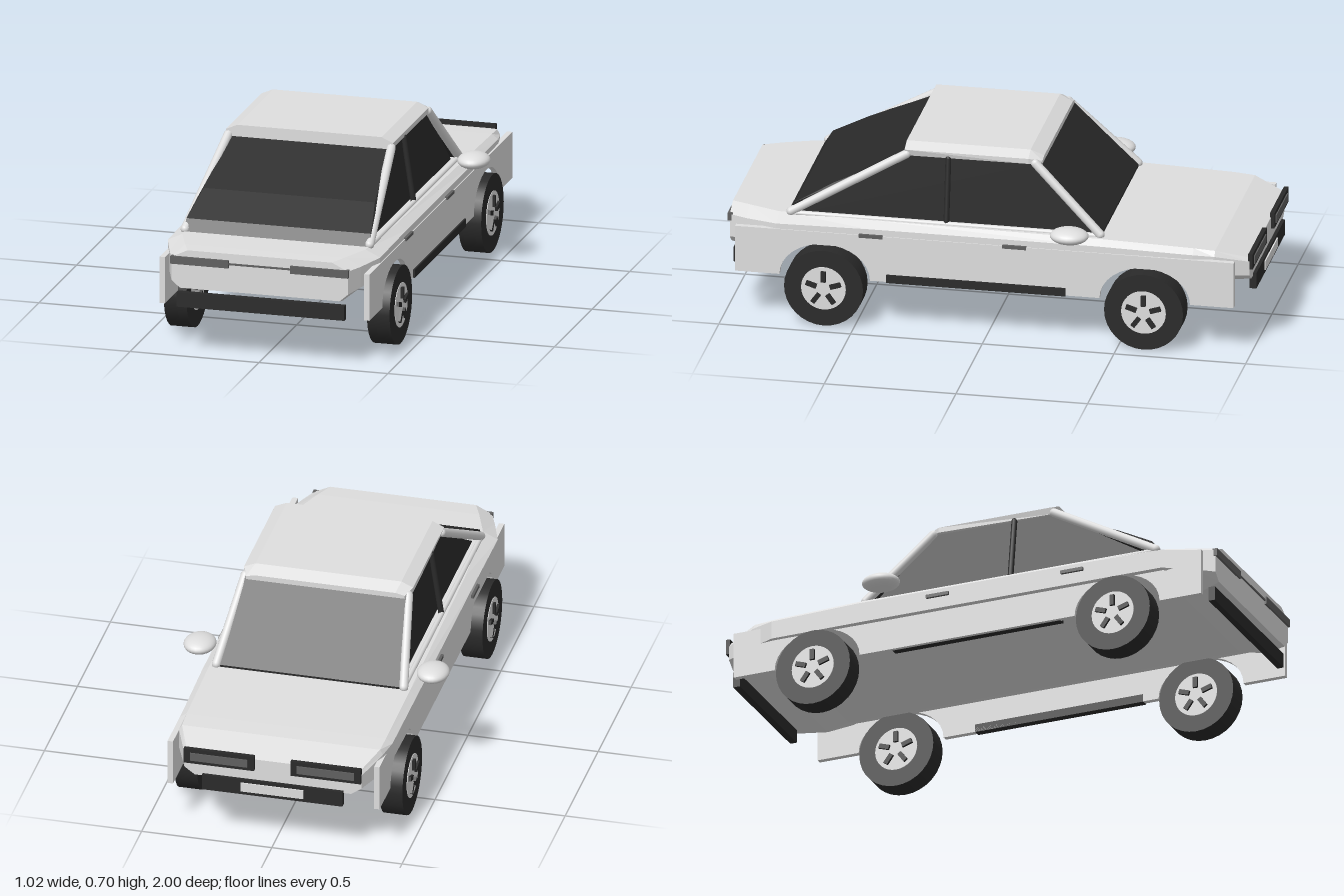
import * as THREE from 'three';
import { ConvexGeometry } from 'three/addons/geometries/ConvexGeometry.js';

const mat = (name, color) => {
  const m = new THREE.MeshStandardMaterial({ color });
  m.name = name;
  return m;
};

// Lofts symmetric eight-sided sections along z: [z, top x,y, shoulder x,y, lower x,y, bottom x,y]
function loft(sections) {
  const rings = sections.map(([z, tx, ty, sx, sy, lx, ly, bx, by]) =>
    [[tx, ty], [-tx, ty], [-sx, sy], [-lx, ly], [-bx, by], [bx, by], [lx, ly], [sx, sy]].map(([x, y]) => [x, y, z]));
  const pos = [];
  const tri = (...pts) => pts.forEach(p => pos.push(...p));
  for (let i = 0; i < rings.length - 1; i++) {
    for (let j = 0; j < 8; j++) {
      const k = (j + 1) % 8;
      const a = rings[i][j], b = rings[i][k], c = rings[i + 1][k], d = rings[i + 1][j];
      tri(a, b, c);
      tri(a, c, d);
    }
  }
  const first = rings[0], last = rings[rings.length - 1];
  for (let j = 1; j < 7; j++) {
    tri(last[0], last[j], last[j + 1]);
    tri(first[0], first[j + 1], first[j]);
  }
  const g = new THREE.BufferGeometry();
  g.setAttribute('position', new THREE.Float32BufferAttribute(pos, 3));
  g.computeVertexNormals();
  return g;
}

// Convex solid from points mirrored across x
const mirroredHull = points => new ConvexGeometry(
  [-1, 1].flatMap(s => points.map(([x, y, z]) => new THREE.Vector3(s * x, y, z))));

export function createModel() {
  const car = new THREE.Group();
  car.name = 'car';
  const paint = mat('light grey paint', 0xdedede);
  const black = mat('black trim', 0x2a2a2a);
  const glass = mat('dark glass', 0x2a2a2a);
  const grey = mat('dark grey', 0x606060);

  const add = (name, geo, material, parent = car) => {
    const m = new THREE.Mesh(geo, material);
    m.name = name;
    parent.add(m);
    return m;
  };
  // Box given by its limits on each axis
  const box = (name, [x0, x1], [y0, y1], [z0, z1], material) => {
    const m = add(name, new THREE.BoxGeometry(x1 - x0, y1 - y0, z1 - z0), material);
    m.position.set((x0 + x1) / 2, (y0 + y1) / 2, (z0 + z1) / 2);
  };
  const rod = (name, from, to, r, material) => {
    const a = new THREE.Vector3(...from), b = new THREE.Vector3(...to), d = b.clone().sub(a);
    const m = add(name, new THREE.CapsuleGeometry(r, d.length(), 4, 12), material);
    m.position.copy(a).add(b).multiplyScalar(0.5);
    m.quaternion.setFromUnitVectors(new THREE.Vector3(0, 1, 0), d.normalize());
  };

  // Main shell with bonnet, boot and underside
  add('bodyShell', loft([
    [-0.982, 0.33, 0.358, 0.34, 0.345, 0.34, 0.29, 0.30, 0.262],
    [-0.86, 0.38, 0.395, 0.392, 0.375, 0.392, 0.30, 0.31, 0.25],
    [-0.78, 0.383, 0.40, 0.408, 0.382, 0.408, 0.312, 0.32, 0.28],
    [-0.43, 0.385, 0.41, 0.412, 0.39, 0.412, 0.312, 0.32, 0.28],
    [0.45, 0.375, 0.412, 0.412, 0.39, 0.412, 0.312, 0.32, 0.28],
    [0.80, 0.355, 0.412, 0.412, 0.385, 0.412, 0.312, 0.32, 0.28],
    [0.92, 0.31, 0.412, 0.37, 0.38, 0.37, 0.30, 0.30, 0.242],
    [0.99, 0.28, 0.41, 0.342, 0.38, 0.342, 0.29, 0.31, 0.262],
  ]), paint);

  // Side panels with wheel arches
  const side = new THREE.Shape();
  side.moveTo(-0.938, 0.185);
  for (const z of [-0.6, 0.615]) {
    for (let i = 0; i <= 16; i++) {
      const t = Math.PI * (1 - i / 16);
      side.lineTo(z + 0.172 * Math.cos(t), 0.185 + 0.133 * Math.sin(t));
    }
  }
  side.lineTo(0.955, 0.185);
  side.lineTo(0.955, 0.365);
  side.lineTo(-0.938, 0.365);
  const panel = new THREE.ExtrudeGeometry(side, { depth: 0.021, bevelEnabled: false });
  panel.rotateY(-Math.PI / 2);

  // Roof
  add('roof', loft([
    [-0.19, 0.27, 0.682, 0.305, 0.674, 0.305, 0.662, 0.27, 0.66],
    [-0.14, 0.28, 0.705, 0.325, 0.685, 0.325, 0.665, 0.28, 0.66],
    [0.33, 0.28, 0.705, 0.325, 0.685, 0.318, 0.66, 0.28, 0.656],
  ]), paint);

  // Cabin glass: tapered sides, sloping windscreen and a bowed rear screen
  add('sideGlass', mirroredHull([
    [0.335, 0.4, -0.41], [0.312, 0.663, -0.165], [0.312, 0.66, 0.32], [0.335, 0.4, 0.74],
  ]), glass);
  add('windscreen', mirroredHull([
    [0.36, 0.41, -0.425], [0.36, 0.418, -0.425], [0.312, 0.662, -0.182], [0.312, 0.67, -0.182],
  ]), glass);
  add('rearScreen', mirroredHull([
    [0.36, 0.41, 0.768], [0.358, 0.455, 0.738], [0.332, 0.534, 0.598], [0.308, 0.66, 0.33], [0.308, 0.65, 0.33],
  ]), glass);

  for (const s of [-1, 1]) {
    add('sidePanel', panel, paint).position.x = s > 0 ? 0.416 : -0.377;

    // Roof pillars and window frame
    rod('frontPillar', [s * 0.36, 0.418, -0.42], [s * 0.314, 0.665, -0.165], 0.017, paint);
    rod('rearPillar', [s * 0.358, 0.418, 0.755], [s * 0.316, 0.665, 0.325], 0.017, paint);
    rod('centrePillar', [s * 0.355, 0.415, 0.165], [s * 0.318, 0.66, 0.165], 0.011, black);
    rod('beltRail', [s * 0.358, 0.412, -0.42], [s * 0.358, 0.412, 0.755], 0.01, paint);

    // Wing mirror
    const mirror = add('wingMirror', new THREE.SphereGeometry(1, 24, 16), paint);
    mirror.scale.set(0.061, 0.03, 0.073);
    mirror.position.set(s * 0.448, 0.44, -0.32);

    // Door handles and sill strip
    const xs = (a, b) => (s > 0 ? [a, b] : [-b, -a]);
    for (const z of [0.44, -0.105]) box('doorHandle', xs(0.405, 0.422), [0.357, 0.37], [z - 0.045, z + 0.045], grey);
    box('sillStrip', s > 0 ? [0.395, 0.424] : [-0.385, -0.356], [0.184, 0.215], [-0.3, 0.38], black);

    // Rear lamp, headlight frame and lens
    box('tailLamp', xs(0.12, 0.345), [0.355, 0.385], [0.978, 0.998], grey);
    box('headlightFrame', xs(0.07, 0.34), [0.315, 0.375], [-0.995, -0.978], black);
    box('headlightLens', xs(0.095, 0.315), [0.328, 0.36], [-0.999, -0.994], grey);

    // Wheels
    for (const z of [-0.6, 0.615]) {
      const wheel = new THREE.Group();
      wheel.name = 'wheel';
      wheel.position.set(s * 0.394, 0.15, z);
      car.add(wheel);
      add('tyre', new THREE.CylinderGeometry(0.15, 0.15, 0.088, 32), black, wheel).rotation.z = Math.PI / 2;
      add('hub', new THREE.CylinderGeometry(0.085, 0.085, 0.092, 32), paint, wheel).rotation.z = Math.PI / 2;
      for (let i = 0; i < 5; i++) {
        const a = (i / 5) * Math.PI * 2;
        const slot = add('hubSlot', new THREE.BoxGeometry(0.112, 0.042, 0.018), black, wheel);
        slot.position.set(0, 0.048 * Math.cos(a), 0.048 * Math.sin(a));
        slot.rotation.x = a;
      }
    }
  }

  // Bumpers, number plate and rear trim line
  box('tailTrim', [-0.12, 0.12], [0.367, 0.374], [0.98, 0.994], grey);
  box('rearBumper', [-0.325, 0.325], [0.184, 0.24], [0.955, 0.98], black);
  box('frontBumper', [-0.27, 0.27], [0.21, 0.272], [-0.995, -0.968], black);
  box('frontPlate', [-0.12, 0.12], [0.224, 0.26], [-1, -0.994], paint);
  return car;
}
